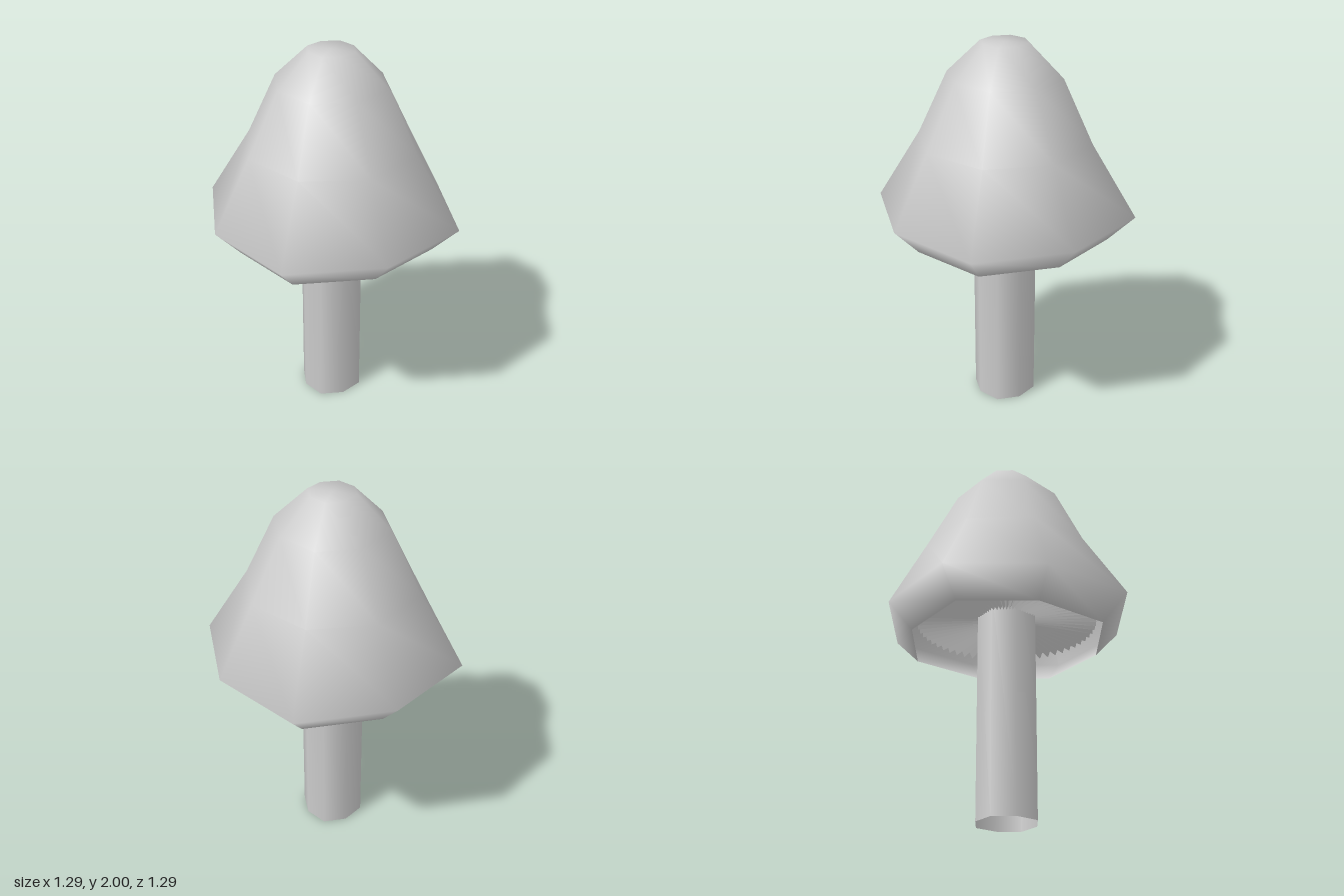
import * as THREE from 'three';

const SIDES = 8;
const material = new THREE.MeshStandardMaterial({ color: 0xcccccc, side: THREE.DoubleSide });

// Smooth eight-sided lathe; rings are [axis radius, height, diagonal radius]
function octagonShell(rings) {
  const points = rings.map(([r, y]) => new THREE.Vector2(r, y));
  const geo = new THREE.LatheGeometry(points, SIDES);
  const pos = geo.attributes.position;
  for (let i = 0; i < pos.count; i++) {
    const [axis, , diagonal] = rings[i % rings.length];
    const side = Math.floor(i / rings.length);
    const scale = side % 2 && axis > 0 ? diagonal / axis : 1;
    pos.setX(i, pos.getX(i) * scale);
    pos.setZ(i, pos.getZ(i) * scale);
  }
  return geo;
}

// Ring of radial pleats, deepening towards the rim
function pleatedRing(pleats, inner, outer, height) {
  const positions = [];
  const corner = (k, r, depth) => {
    const a = (k / pleats) * Math.PI;
    return [Math.sin(a) * r, height + (k % 2 ? depth : -depth), Math.cos(a) * r];
  };
  for (let k = 0; k < pleats * 2; k++) {
    const a = corner(k, inner, 0.01), b = corner(k, outer, 0.03);
    const c = corner(k + 1, outer, 0.03), d = corner(k + 1, inner, 0.01);
    positions.push(...a, ...c, ...b, ...a, ...d, ...c);
  }
  const geo = new THREE.BufferGeometry();
  geo.setAttribute('position', new THREE.Float32BufferAttribute(positions, 3));
  geo.computeVertexNormals();
  return geo;
}

export function createModel() {
  const model = new THREE.Group();
  const add = (name, geo) => {
    const mesh = new THREE.Mesh(geo, material);
    mesh.name = name;
    model.add(mesh);
  };

  // Bell-shaped cap, from the turned-in lip up to the flat crown
  add('cap', octagonShell([
    [0.515, 0.98, 0.55], [0.645, 1.12, 0.69], [0.45, 1.5, 0.455],
    [0.285, 1.83, 0.3], [0.12, 2, 0.125], [0, 2, 0],
  ]));

  // Gills set up inside the cap
  add('gills', pleatedRing(60, 0.14, 0.48, 1.11));

  // Hollow stem
  add('stem', octagonShell([[0.16, 0, 0.17], [0.16, 1.2, 0.17]]));

  return model;
}
